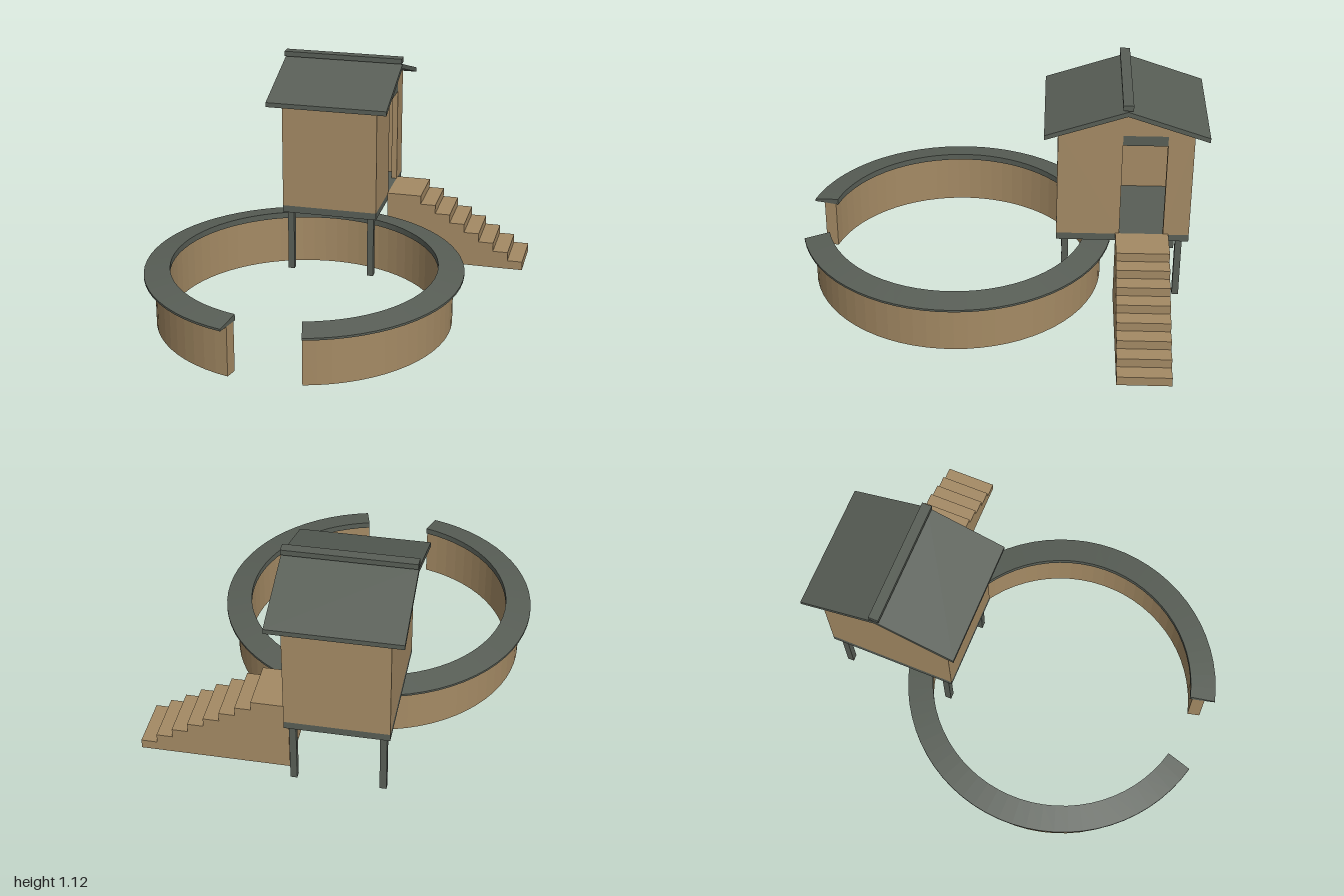
import * as THREE from 'three';
import { mergeGeometries } from 'three/addons/utils/BufferGeometryUtils.js';

const wood = new THREE.MeshStandardMaterial({ color: 0xa48a64 });
wood.name = 'wood';
const slate = new THREE.MeshStandardMaterial({ color: 0x585e56 });
slate.name = 'slate';

function mesh(name, geometry, material) {
  const m = new THREE.Mesh(geometry, material);
  m.name = name;
  return m;
}

// Box given by its minimum and maximum corners
function box(name, material, [x0, y0, z0], [x1, y1, z1]) {
  const m = mesh(name, new THREE.BoxGeometry(x1 - x0, y1 - y0, z1 - z0), material);
  m.position.set((x0 + x1) / 2, (y0 + y1) / 2, (z0 + z1) / 2);
  return m;
}

// Outline of [z, y] points extruded along x from x0 to x1
function prismX(name, material, points, x0, x1) {
  const shape = new THREE.Shape(points.map(([z, y]) => new THREE.Vector2(-z, y)));
  const g = new THREE.ExtrudeGeometry(shape, { depth: x1 - x0, bevelEnabled: false });
  g.rotateY(Math.PI / 2).translate(x0, 0, 0);
  return mesh(name, g, material);
}

// Counterclockwise [radius, y] profile swept round an open ring, with closed ends
function openRing(name, material, profile, halfGap, segments) {
  const pts = profile.map(([r, y]) => new THREE.Vector2(r, y));
  const sweep = new THREE.LatheGeometry([...pts, pts[0]], segments, halfGap, 2 * (Math.PI - halfGap));
  const ends = [halfGap, 2 * Math.PI - halfGap].map((phi, i) => {
    const end = new THREE.ShapeGeometry(new THREE.Shape(pts));
    end.rotateY(phi - Math.PI / 2);
    if (i === 1) end.index.array.reverse();
    return end;
  });
  const g = mergeGeometries([sweep, ...ends].map((part) => part.toNonIndexed()));
  g.computeVertexNormals();
  return mesh(name, g, material);
}

export function createModel() {
  const model = new THREE.Group();
  model.name = 'hutWithRingWall';

  // Round enclosure wall with a sloping coping, open at the front
  const ring = new THREE.Group();
  ring.name = 'ringEnclosure';
  ring.position.set(-0.1, 0, 0.231);
  const halfGap = THREE.MathUtils.degToRad(14);
  ring.add(
    openRing('ringWall', wood, [[0.675, 0], [0.738, 0], [0.738, 0.255], [0.675, 0.255]], halfGap, 64),
    openRing('ringCoping', slate, [[0.662, 0.255], [0.791, 0.255], [0.791, 0.266], [0.662, 0.287]], halfGap, 64),
  );
  model.add(ring);

  // Hut on stilts
  const hut = new THREE.Group();
  hut.name = 'hut';
  model.add(hut);
  const X0 = -0.35, X1 = 0.15, ZB = -0.933, ZF = -0.275, ZM = -0.604;
  const FLOOR = 0.37, EAVE = 0.952, APEX = 1.062, T = 0.03;
  const D0 = -0.805, D1 = -0.588, DOOR = 0.925;

  hut.add(box('floor', slate, [X0, 0.333, ZB], [X1, FLOOR, ZF]));
  for (const x of [-0.315, 0.115]) {
    for (const z of [-0.886, -0.32]) {
      hut.add(box('stilt', slate, [x - 0.0165, 0, z - 0.0165], [x + 0.0165, 0.333, z + 0.0165]));
    }
  }

  // Walls; the one on the stair side is cut out for the doorway
  hut.add(
    box('frontWall', wood, [X0 + T, FLOOR, ZF - T], [X1 - T, EAVE, ZF]),
    box('backWall', wood, [X0 + T, FLOOR, ZB], [X1 - T, EAVE, ZB + T]),
    prismX('rightGable', wood,
      [[ZB, FLOOR], [ZF, FLOOR], [ZF, EAVE], [ZM, APEX], [ZB, EAVE]], X0, X0 + T),
    prismX('leftGable', wood,
      [[ZB, FLOOR], [D0, FLOOR], [D0, DOOR], [D1, DOOR], [D1, FLOOR],
        [ZF, FLOOR], [ZF, EAVE], [ZM, APEX], [ZB, EAVE]], X1 - T, X1),
    box('doorLintel', slate, [X1 - T, 0.872, D0], [X1, DOOR, D1]),
  );

  // Pitched roof and ridge beam
  const half = 0.396, R0 = -0.417, R1 = 0.213;
  hut.add(
    prismX('roof', slate, [
      [ZM - half, 0.929], [ZM, APEX], [ZM + half, 0.929],
      [ZM + half, 0.953], [ZM, 1.087], [ZM - half, 0.953],
    ], R0, R1),
    box('ridgeBeam', slate, [R0, 1.093, ZM - 0.025], [R1, 1.12, ZM + 0.025]),
  );

  // Solid stairs, eight levels, with a landing at the door
  const steps = 8, rise = 0.373 / steps, run = 0.0794, landing = 0.331;
  const side = new THREE.Shape();
  side.moveTo(X1, 0);
  side.lineTo(landing + (steps - 1) * run, 0);
  for (let i = 1; i <= steps; i++) {
    const end = landing + (steps - i) * run;
    side.lineTo(end, i * rise);
    side.lineTo(i < steps ? end - run : X1, i * rise);
  }
  const stairs = new THREE.ExtrudeGeometry(side, { depth: 0.262, bevelEnabled: false });
  stairs.translate(0, 0, -0.831);
  model.add(mesh('stairs', stairs, wood));

  return model;
}
